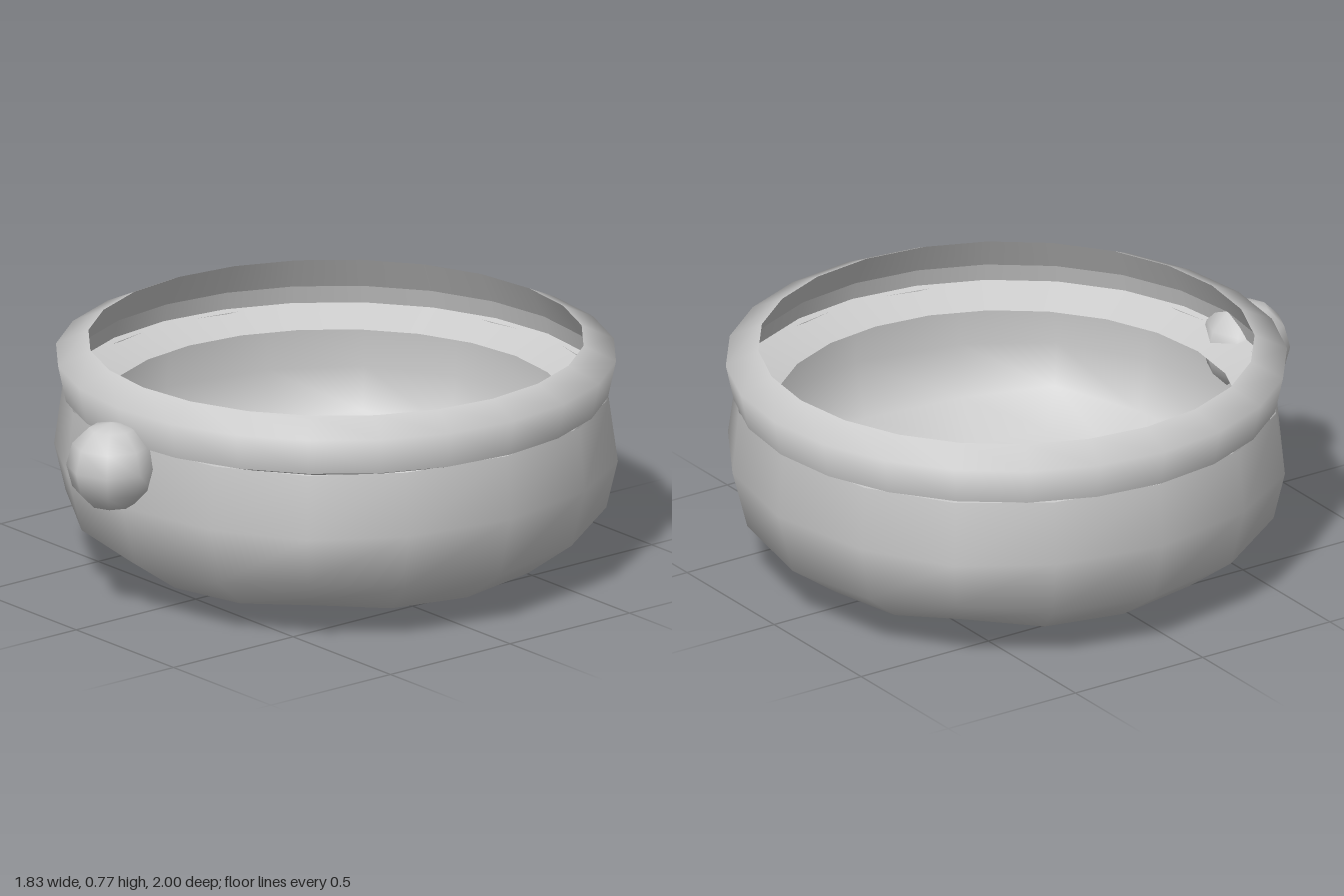
import * as THREE from 'three';
import { mergeVertices } from 'three/addons/utils/BufferGeometryUtils.js';

const SIDES = 24;

// Open bowl made from a 4 x 4 x 4 box, rounded out and without its top
function shellGeometry(radius, floor, top) {
  const box = new THREE.BoxGeometry(2, 2, 2, 4, 4, 4);
  box.deleteAttribute('normal');
  box.deleteAttribute('uv');
  const shell = mergeVertices(box);
  shell.clearGroups();
  const pos = shell.attributes.position;

  // Remove every triangle that touches the top face
  const kept = [];
  const index = shell.index.array;
  for (let i = 0; i < index.length; i += 3) {
    const corners = [index[i], index[i + 1], index[i + 2]];
    if (corners.every((c) => pos.getY(c) < 0.9)) kept.push(...corners);
  }
  shell.setIndex(kept);

  const v = new THREE.Vector3();
  const warp = (t) => (Math.abs(t) === 0.5 ? 0.9 * t : t);
  for (let i = 0; i < pos.count; i++) {
    v.fromBufferAttribute(pos, i);
    v.set(warp(v.x), warp(v.y), warp(v.z));
    // Round the box, pulling its corners in a little further
    const corner = (v.x * v.y * v.z) ** 2;
    v.multiplyScalar((1 - 0.06 * corner) / Math.pow(v.length(), 0.93));
    let spread = radius;
    let height = 0.38;
    if (v.y > 0.1) {
      // Nearly circular upper edge, tucked under the rim
      spread = radius / Math.pow(Math.hypot(v.x, v.z), 0.75);
      height = top;
    } else if (v.y < -0.1) {
      // Flattened bottom
      spread = radius * (1 - 0.05 * v.y);
      height = floor + (0.38 - floor) * Math.pow(Math.max(0, 1 + v.y), 1.48);
    }
    pos.setXYZ(i, v.x * spread, height, v.z * spread);
  }
  shell.computeVertexNormals();
  return shell;
}

export function createModel() {
  const model = new THREE.Group();
  const material = new THREE.MeshStandardMaterial({ color: 0xcccccc, side: THREE.DoubleSide });

  const bowl = new THREE.Group();
  bowl.name = 'bowl';
  bowl.position.z = -0.087;
  model.add(bowl);

  function add(parent, name, geometry) {
    const mesh = new THREE.Mesh(geometry, material);
    mesh.name = name;
    parent.add(mesh);
    return mesh;
  }

  // Revolves a profile of [radius, height] points around the bowl's axis
  function turned(name, profile) {
    const points = profile.map(([r, y]) => new THREE.Vector2(r, y));
    add(bowl, name, new THREE.LatheGeometry(points, SIDES));
  }

  // Double-walled body
  add(bowl, 'outerWall', shellGeometry(0.897, 0, 0.592));
  add(bowl, 'innerWall', shellGeometry(0.868, 0.05, 0.572));

  // Rim: rounded outside and over the top, undercut inside
  turned('rimOutside', [[0.887, 0.598], [0.913, 0.72], [0.807, 0.77]]);
  turned('rimUndercut', [[0.807, 0.77], [0.87, 0.66]]);
  turned('rimBand', [[0.87, 0.66], [0.887, 0.598]]);

  // Thin ledge sloping inward below the rim
  turned('ledge', [[0.887, 0.598], [0.752, 0.55]]);

  // Round knob on the front, pushed through the wall
  add(model, 'knob', new THREE.SphereGeometry(0.148, 8, 6)).position.set(0, 0.53, 0.852);

  return model;
}
